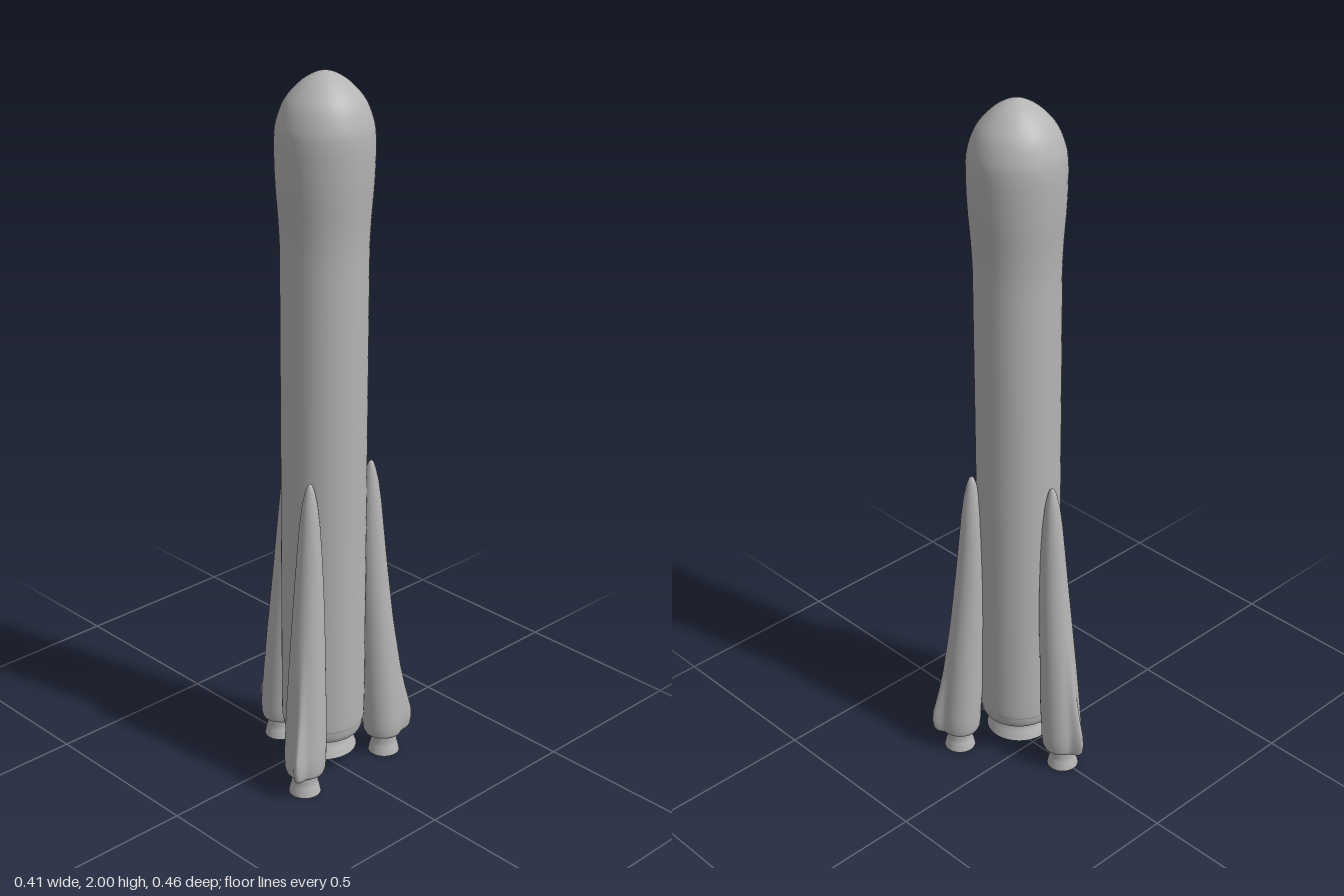
import * as THREE from 'three';

const AXIS_X = 0.057;
const v2 = (p) => new THREE.Vector2(p[0], p[1]);

// Smooth solid of revolution through a few [radius, height] points
function turned(points, material, name, divisions = 60) {
  const curve = new THREE.SplineCurve(points.map(v2));
  const profile = curve.getPoints(divisions);
  profile.forEach((p) => { p.x = Math.max(p.x, 0); });
  const mesh = new THREE.Mesh(new THREE.LatheGeometry(profile, 64), material);
  mesh.name = name;
  return mesh;
}

// Strap-on booster: round leaning cone whose outer side pinches into a ridge.
// Sections: [height, centre distance, radius, ridge length]
const SECTIONS = [
  [0.06, 0.18, 0, 0], [0.06, 0.18, 0.045, 0.016], [0.064, 0.178, 0.052, 0.02],
  [0.075, 0.177, 0.056, 0.025], [0.1, 0.176, 0.058, 0.028], [0.13, 0.175, 0.058, 0.027],
  [0.2, 0.169, 0.057, 0.016], [0.27, 0.164, 0.055, 0.008], [0.34, 0.16, 0.052, 0.004],
  [0.45, 0.151, 0.048, 0], [0.6, 0.141, 0.041, 0], [0.72, 0.136, 0.034, 0],
  [0.8, 0.134, 0.028, 0], [0.86, 0.133, 0.021, 0], [0.9, 0.132, 0.013, 0],
  [0.917, 0.132, 0.007, 0], [0.923, 0.132, 0, 0],
];

function boosterGeometry(sides = 64) {
  const pos = [];
  const index = [];
  SECTIONS.forEach(([y, centre, radius, ridge]) => {
    for (let j = 0; j < sides; j++) {
      // Pack more corners around the ridge at angle zero
      const t = (j / sides) * Math.PI * 2;
      const a = t - 0.75 * Math.sin(t);
      const r = radius + ridge * Math.pow(Math.max(0, Math.cos(a)), 40);
      pos.push(centre + r * Math.cos(a), y, r * Math.sin(a));
    }
  });
  for (let i = 0; i < SECTIONS.length - 1; i++) {
    for (let j = 0; j < sides; j++) {
      const k = (j + 1) % sides;
      const a = i * sides + j, b = i * sides + k;
      const c = a + sides, d = b + sides;
      index.push(a, c, b, b, c, d);
    }
  }
  const g = new THREE.BufferGeometry();
  g.setAttribute('position', new THREE.Float32BufferAttribute(pos, 3));
  g.setIndex(index);
  g.computeVertexNormals();
  return g;
}

export function createModel() {
  const grey = new THREE.MeshStandardMaterial({ color: 0xb4b4b4 });
  grey.name = 'grey';
  const greyOpen = new THREE.MeshStandardMaterial({ color: 0xb4b4b4, side: THREE.DoubleSide });
  greyOpen.name = 'grey open shell';

  const rocket = new THREE.Group();
  rocket.name = 'rocket';
  rocket.position.x = AXIS_X;

  // Core tank with rounded lower rim
  rocket.add(turned([
    [0, 0.105], [0.06, 0.105], [0.098, 0.107], [0.108, 0.115], [0.114, 0.14], [0.117, 0.2],
    [0.117, 0.6], [0.117, 1.1], [0.117, 1.5],
  ], grey, 'coreTank'));

  // Wider payload fairing with a blunt pointed nose
  rocket.add(turned([
    [0.117, 1.5], [0.1175, 1.55], [0.121, 1.62], [0.127, 1.7], [0.13, 1.77], [0.13, 1.83],
    [0.124, 1.873], [0.103, 1.925], [0.065, 1.968], [0.03, 1.991], [0, 2],
  ], grey, 'payloadFairing'));

  // Main engine bell, open below
  rocket.add(turned([
    [0.095, 0.048], [0.089, 0.065], [0.082, 0.085], [0.08, 0.108],
  ], greyOpen, 'mainNozzle', 16));

  // Three boosters spaced evenly around the core
  const hull = boosterGeometry();
  for (let n = 0; n < 3; n++) {
    const booster = new THREE.Group();
    booster.name = 'booster' + (n + 1);
    booster.rotation.y = Math.PI + (n * Math.PI * 2) / 3;
    const body = new THREE.Mesh(hull, grey);
    body.name = 'boosterHull';
    const nozzle = turned([
      [0.045, 0], [0.041, 0.018], [0.037, 0.035], [0.037, 0.062],
    ], greyOpen, 'boosterNozzle', 16);
    nozzle.position.x = 0.181;
    booster.add(body, nozzle);
    rocket.add(booster);
  }

  const model = new THREE.Group();
  model.name = 'launchVehicle';
  model.add(rocket);
  return model;
}
